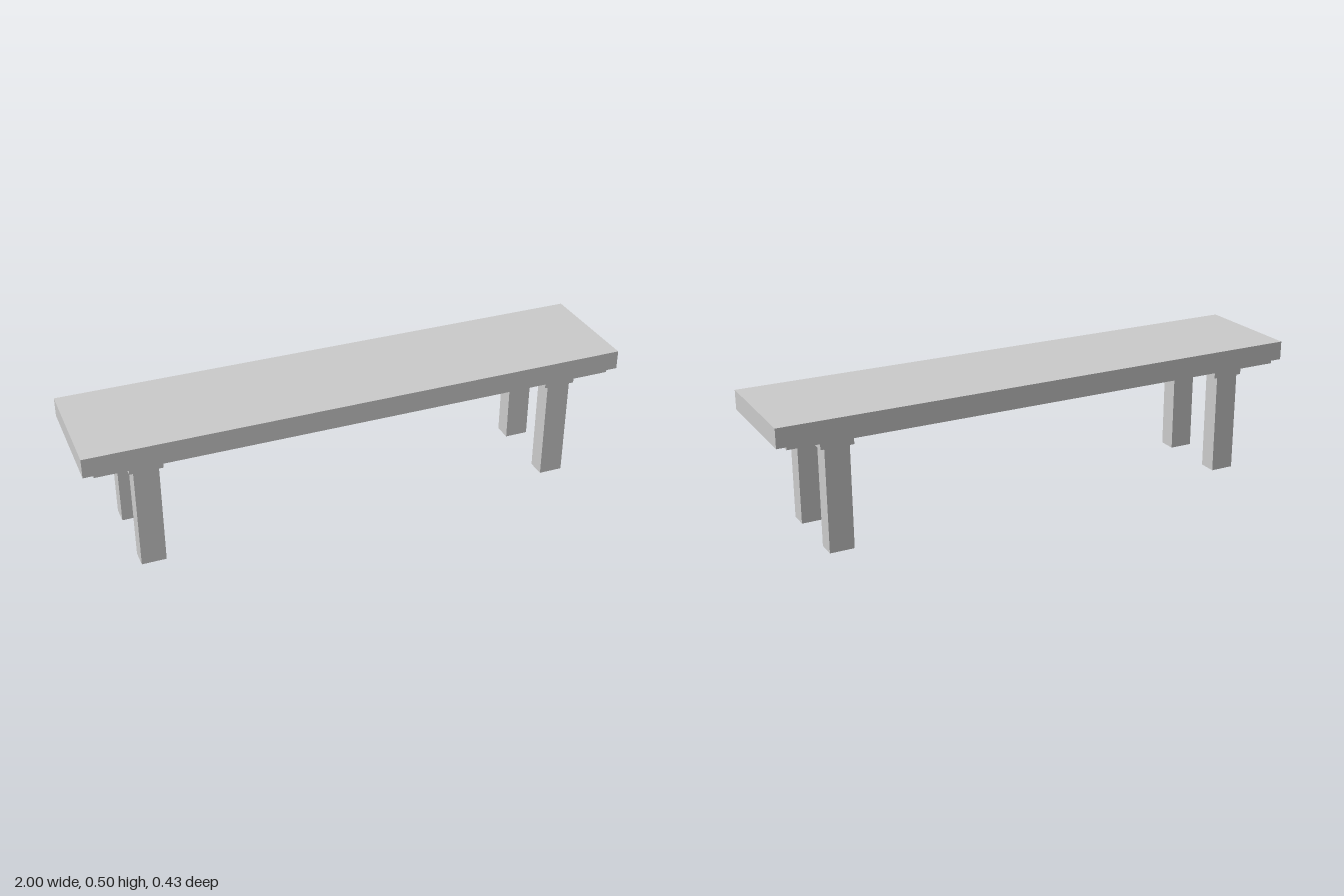
import * as THREE from 'three';

const material = new THREE.MeshStandardMaterial({ color: 0xcccccc, flatShading: true });

// Box given by its bottom height, sitting at (x, z)
function box(name, width, height, depth, x, bottom, z) {
  const mesh = new THREE.Mesh(new THREE.BoxGeometry(width, height, depth), material);
  mesh.name = name;
  mesh.position.set(x, bottom + height / 2, z);
  return mesh;
}

export function createModel() {
  const bench = new THREE.Group();
  bench.name = 'bench';

  // Thick seat slab with a slightly smaller board beneath it
  bench.add(box('seat', 2, 0.07, 0.426, 0, 0.425, 0));
  bench.add(box('underBoard', 1.926, 0.013, 0.41, 0, 0.412, 0));

  // Four square legs, each topped by a wider cap
  for (const side of [1, -1]) {
    for (const end of [1, -1]) {
      const leg = new THREE.Group();
      leg.name = (end > 0 ? 'front' : 'back') + (side > 0 ? 'Left' : 'Right') + 'Leg';
      const foot = end > 0 ? 0 : 0.003;
      leg.add(box('post', 0.089, 0.38 - foot, 0.068, side * 0.782, foot, end * 0.14));
      leg.add(box('cap', 0.118, 0.032, 0.077, side * 0.782, 0.38, end > 0 ? 0.1415 : -0.1395));
      bench.add(leg);
    }
  }
  return bench;
}
